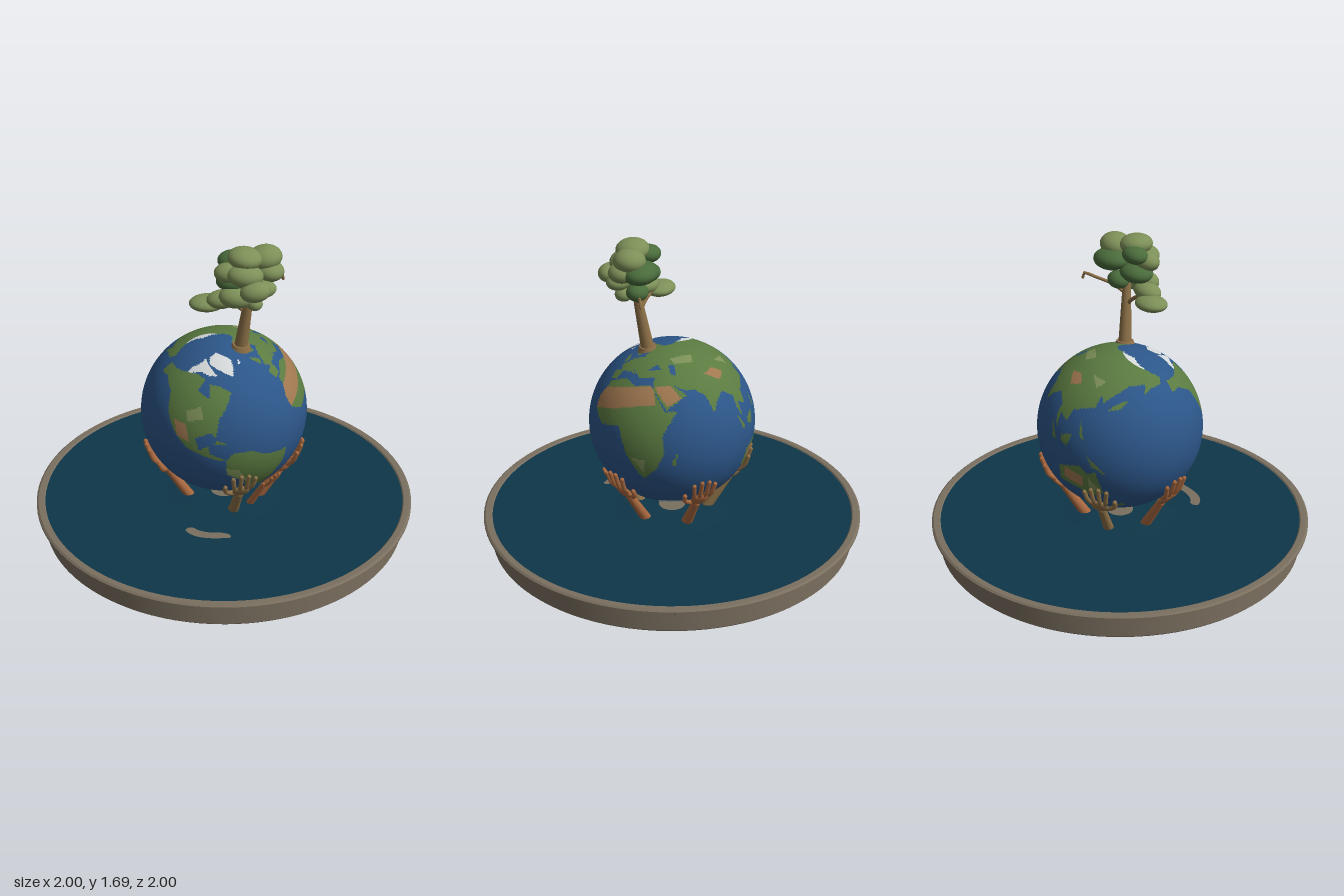
import * as THREE from 'three';
import { toCreasedNormals } from 'three/addons/utils/BufferGeometryUtils.js';

const V = (x, y, z) => new THREE.Vector3(x, y, z);
const paint = (name, color, side = THREE.FrontSide) => {
  const m = new THREE.MeshStandardMaterial({ color, side });
  m.name = name;
  return m;
};

function add(parent, name, geometry, material) {
  const mesh = new THREE.Mesh(geometry, material);
  mesh.name = name;
  parent.add(mesh);
  return mesh;
}

// Tapered cylinder between two points
function limb(parent, name, a, b, ra, rb, material) {
  const d = b.clone().sub(a);
  const mesh = add(parent, name, new THREE.CylinderGeometry(rb, ra, d.length(), 14), material);
  mesh.position.copy(a).addScaledVector(d, 0.5);
  mesh.quaternion.setFromUnitVectors(V(0, 1, 0), d.normalize());
  return mesh;
}

function tube(parent, name, points, radius, material) {
  add(parent, name, new THREE.TubeGeometry(new THREE.CatmullRomCurve3(points), 10, radius, 8), material);
  add(parent, name + 'Tip', new THREE.SphereGeometry(radius, 8, 6), material).position.copy(points[points.length - 1]);
}

function ellipsoid(parent, name, p, s, material) {
  const mesh = add(parent, name, new THREE.SphereGeometry(1, 24, 16), material);
  mesh.position.set(...p);
  mesh.scale.set(...s);
  return mesh;
}

function inside(poly, x, y) {
  let hit = false;
  for (let i = 0, j = poly.length - 2; i < poly.length; j = i, i += 2) {
    const [ax, ay, bx, by] = [poly[i], poly[i + 1], poly[j], poly[j + 1]];
    if (ay > y !== by > y && x < ((bx - ax) * (y - ay)) / (by - ay) + ax) hit = !hit;
  }
  return hit;
}

// Outlines as longitude, latitude pairs
const northAmerica = [-168, 66, -125, 70, -95, 70, -82, 66, -94, 59, -80, 52, -77, 62, -65, 59, -56, 52, -65, 45, -75, 38, -81, 26, -84, 30,
  -97, 27, -95, 18, -88, 21, -88, 15, -78, 8, -84, 9, -105, 20, -117, 32, -124, 42, -130, 54, -150, 60, -165, 57];
const southAmerica = [-78, 8, -72, 12, -60, 9, -50, 0, -35, -7, -39, -17, -48, -27, -57, -37, -65, -42, -68, -54, -74, -50, -71, -18, -81, -5];
const africa = [-17, 15, -16, 24, -6, 35, 10, 37, 20, 31, 33, 31, 43, 12, 51, 12, 40, -4, 40, -16, 33, -27, 20, -35, 17, -30, 12, -16, 9, 4, -8, 5];
const europe = [-9, 37, -9, 43, -1, 44, -4, 48, 8, 54, 20, 55, 24, 60, 20, 63, 12, 56, 5, 60, 15, 69, 28, 71, 45, 67, 60, 69,
  60, 40, 36, 36, 27, 37, 22, 37, 13, 45, 17, 40, 12, 42, 3, 43, -1, 37];
const asia = [60, 69, 70, 72, 105, 77, 140, 73, 180, 69, 178, 63, 162, 58, 157, 52, 155, 60, 138, 54, 128, 40, 126, 35, 121, 39, 122, 30, 108, 20,
  108, 11, 100, 13, 103, 2, 98, 9, 97, 17, 88, 22, 80, 14, 77, 8, 73, 20, 66, 25, 57, 26, 50, 30, 59, 22, 44, 13, 35, 28, 36, 36, 60, 40];
const australia = [114, -22, 130, -12, 137, -15, 142, -11, 153, -27, 147, -38, 135, -34, 116, -35];
const islands = [
  [44, -24, 50, -15, 47, -26], [-6, 50, 1, 52, -3, 59, -6, 57], [131, 32, 140, 36, 144, 44, 139, 42],
  [96, 5, 106, -5, 103, -6], [109, 1, 117, 6, 116, -4, 110, -3], [131, -1, 150, -10, 138, -8],
  [167, -46, 178, -38, 172, -35], [-84, 22, -75, 20, -72, 18, -80, 24], [118, 18, 126, 7, 122, 8]];
const seas = [[28, 42, 38, 47, 41, 42], [48, 46, 54, 45, 53, 37, 49, 38]];
const deserts = [[-17, 15, -16, 30, 35, 30, 37, 17], [36, 29, 48, 30, 55, 20, 45, 15], [-116, 38, -104, 36, -102, 24, -112, 27],
  [78, 36, 88, 40, 98, 36, 90, 30], [120, -20, 135, -20, 137, -30, 120, -30]];
const meadows = [[-105, 45, -90, 48, -88, 40, -103, 38], [-80, 0, -72, -4, -68, -20, -73, -20, -82, -6], [50, 52, 75, 54, 72, 46, 54, 46],
  [98, 46, 115, 48, 112, 41], [138, -18, 148, -24, 144, -32], [15, -18, 25, -20, 22, -30], [10, 64, 20, 66, 16, 60]];
const ices = [[-55, 82, -20, 82, -22, 70, -43, 60, -53, 68, -68, 77], [-120, 70, -115, 75, -75, 82, -62, 66, -75, 68, -90, 72], [-24, 64, -14, 66, -18, 63]];
const lands = [northAmerica, southAmerica, africa, europe, asia, australia, ...islands];

// 0 ocean, 1 land, 2 desert, 3 meadow, 4 ice
function terrain(lon, lat) {
  const within = (list) => list.some((p) => inside(p, lon, lat));
  if (lat < -70 + 3 * Math.sin(lon / 14) || within(ices)) return 4;
  if (!within(lands) || within(seas)) return 0;
  if (lat > 72) return 4;
  return within(deserts) ? 2 : within(meadows) ? 3 : 1;
}

export function createModel() {
  const model = new THREE.Group();
  model.name = 'globeFountain';
  const ocean = paint('ocean blue', 0x2c5689), land = paint('land green', 0x5b7b41), desert = paint('desert tan', 0xa07850);
  const ice = paint('ice white', 0xd6dada), leaf = paint('leaf olive', 0x7d9058), darkLeaf = paint('dark leaf', 0x4a6c3c);
  const stone = paint('stone', 0x7a6f5f, THREE.DoubleSide), pool = paint('pool teal', 0x0e3648, THREE.DoubleSide);
  const skin = paint('copper skin', 0xa8683f), bark = paint('bark tan', 0x8c7047);

  // Basin with overhanging rim, and its water
  const profile = [[0, 0.04], [0.95, 0.04], [0.96, 0.05], [0.96, 0.165], [0.99, 0.165], [1, 0.172], [1, 0.182], [0.99, 0.19], [0.96, 0.19], [0.95, 0.18]];
  const basin = new THREE.LatheGeometry(profile.map(([x, y]) => new THREE.Vector2(x, y)), 96);
  add(model, 'basin', toCreasedNormals(basin, 0.6), stone);
  add(model, 'water', new THREE.CircleGeometry(0.955, 96).rotateX(-Math.PI / 2), pool).position.y = 0.184;
  add(model, 'ripple', new THREE.CylinderGeometry(0.2, 0.32, 0.008, 48), pool).position.y = 0.187;

  // Sand islets on the water
  const crescent = new THREE.Shape();
  crescent.moveTo(-0.12, 0.05);
  crescent.quadraticCurveTo(-0.09, -0.05, 0.1, -0.05);
  crescent.quadraticCurveTo(0.12, -0.02, 0.06, 0.0);
  crescent.quadraticCurveTo(-0.04, 0.01, -0.07, 0.06);
  crescent.quadraticCurveTo(-0.1, 0.08, -0.12, 0.05);
  const islet = new THREE.ShapeGeometry(crescent).rotateX(-Math.PI / 2);
  add(model, 'sandIslet', islet, stone).position.set(-0.13, 0.188, 0.39);
  add(model, 'middleIslet', new THREE.CircleGeometry(0.07, 24).rotateX(-Math.PI / 2), stone).position.y = 0.193;

  // Globe: faces grouped by terrain, tilted on its axis
  const ball = new THREE.SphereGeometry(0.43, 256, 128);
  const bins = [[], [], [], [], []];
  const idx = ball.index.array, uv = ball.attributes.uv;
  for (let i = 0; i < idx.length; i += 3) {
    const t = [idx[i], idx[i + 1], idx[i + 2]];
    const u = t.reduce((s, k) => s + uv.getX(k), 0) / 3, v = t.reduce((s, k) => s + uv.getY(k), 0) / 3;
    bins[terrain((u - 0.5) * 360, (v - 0.5) * 180)].push(...t);
  }
  ball.setIndex(bins.flat());
  let start = 0;
  bins.forEach((b, i) => { ball.addGroup(start, b.length, i); start += b.length; });
  const globe = add(model, 'globe', ball, [ocean, land, desert, leaf, ice]);
  const pole = V(-0.26, 0.935, 0.225).normalize();
  const east = V(0.94, 0.18, 0.34);
  east.addScaledVector(pole, -east.dot(pole)).normalize();
  globe.quaternion.setFromRotationMatrix(new THREE.Matrix4().makeBasis(east, pole, east.clone().cross(pole)));
  globe.position.y = 0.7;

  // Arms and hands: azimuth, thumb side, size, foot height, colour
  const rad = Math.PI / 180;
  const onGlobe = (az, el, r = 0.45) => V(Math.sin(az * rad) * Math.cos(el * rad) * r, 0.7 + Math.sin(el * rad) * r, Math.cos(az * rad) * Math.cos(el * rad) * r);
  const arms = [[7, -1, 1, 0.1, bark], [41, -1, 0.68, 0.1, skin], [71, 1, 1, 0.01, skin],
    [142, -1, 1, 0.1, skin], [209, 1, 1, 0.01, bark], [272, 1, 1, 0.01, skin]];
  for (const [az, thumb, size, footY, tone] of arms) {
    const arm = new THREE.Group();
    arm.name = 'arm';
    model.add(arm);
    const base = -50 - (1 - size) * 14;
    const at = (side, up, r) => onGlobe(az + side * size, base + up * size, r);
    const wrist = at(0, 1, 0.455);
    const footR = 0.08 + (footY - 0.01) * 0.58;
    const foot = V(Math.sin(az * rad) * footR, footY, Math.cos(az * rad) * footR);
    limb(arm, 'forearm', foot, wrist, 0.033 * size, 0.021 * size, tone);
    ellipsoid(arm, 'wrist', wrist.toArray(), [0.022 * size, 0.022 * size, 0.022 * size], tone);
    const palm = ellipsoid(arm, 'palm', at(0, 8, 0.452).toArray(), [0.045 * size, 0.058 * size, 0.019 * size], tone);
    const n = onGlobe(az, base + 8 * size).sub(V(0, 0.7, 0)).normalize();
    const side = V(Math.cos(az * rad), 0, -Math.sin(az * rad));
    palm.quaternion.setFromRotationMatrix(new THREE.Matrix4().makeBasis(side, n.clone().cross(side), n));
    [24, 27.5, 28, 26].forEach((tip, i) => {
      const k = (1.5 - i) * -thumb;
      tube(arm, 'finger', [at(k * 3.6, 10), at(k * 4.8, 17, 0.456), at(k * 5.6, tip, 0.447)], 0.0115 * size, tone);
    });
    tube(arm, 'thumb', [at(thumb * 2, 3), at(thumb * 10, 7, 0.456), at(thumb * 14, 11, 0.453), at(thumb * 14, 15, 0.447)], 0.012 * size, tone);
  }

  // Tree trunk and branches
  const tree = new THREE.Group();
  tree.name = 'tree';
  model.add(tree);
  limb(tree, 'rootFlare', V(0.07, 1.095, 0.1), V(0.072, 1.125, 0.102), 0.055, 0.044, bark);
  limb(tree, 'trunk', V(0.07, 1.1, 0.1), V(0.105, 1.42, 0.145), 0.035, 0.021, bark);
  tube(tree, 'longBranch', [V(0.1, 1.36, 0.14), V(0.16, 1.41, 0.1), V(0.24, 1.44, 0.05), V(0.29, 1.455, 0.02), V(0.295, 1.43, 0.015)], 0.008, bark);
  tube(tree, 'sideBranch', [V(0.09, 1.31, 0.13), V(0.05, 1.35, 0.13), V(-0.02, 1.395, 0.12)], 0.01, bark);
  tube(tree, 'upperBranch', [V(0.1, 1.4, 0.14), V(0.09, 1.45, 0.18), V(0.08, 1.52, 0.25)], 0.012, bark);

  // Leaf clumps: position, radii, dark flag
  const clumps = [
    [-0.1, 1.375, 0.12, 0.09, 0.037, 0.075], [-0.03, 1.41, 0.16, 0.08, 0.045, 0.06], [0.03, 1.435, 0.2, 0.085, 0.055, 0.06],
    [0.03, 1.5, 0.14, 0.09, 0.05, 0.08, 1], [-0.0, 1.56, 0.18, 0.075, 0.05, 0.06], [0.075, 1.63, 0.18, 0.085, 0.052, 0.085],
    [0.18, 1.61, 0.14, 0.085, 0.06, 0.08], [0.16, 1.55, 0.09, 0.1, 0.055, 0.085, 1], [0.2, 1.55, 0.17, 0.07, 0.05, 0.07],
    [0.11, 1.5, 0.29, 0.075, 0.05, 0.055], [0.07, 1.56, 0.23, 0.09, 0.055, 0.07], [0.14, 1.48, 0.22, 0.085, 0.045, 0.06],
    [0.14, 1.435, 0.12, 0.06, 0.045, 0.055, 1], [0.12, 1.4, 0.21, 0.04, 0.035, 0.045], [0.02, 1.6, 0.12, 0.07, 0.045, 0.06, 1]];
  clumps.forEach(([x, y, z, a, b, c, dark], i) => {
    ellipsoid(tree, 'leafClump', [x, y, z], [a, b, c], dark ? darkLeaf : leaf).rotation.z = 0.12 * Math.sin(i * 2.3);
  });
  return model;
}
